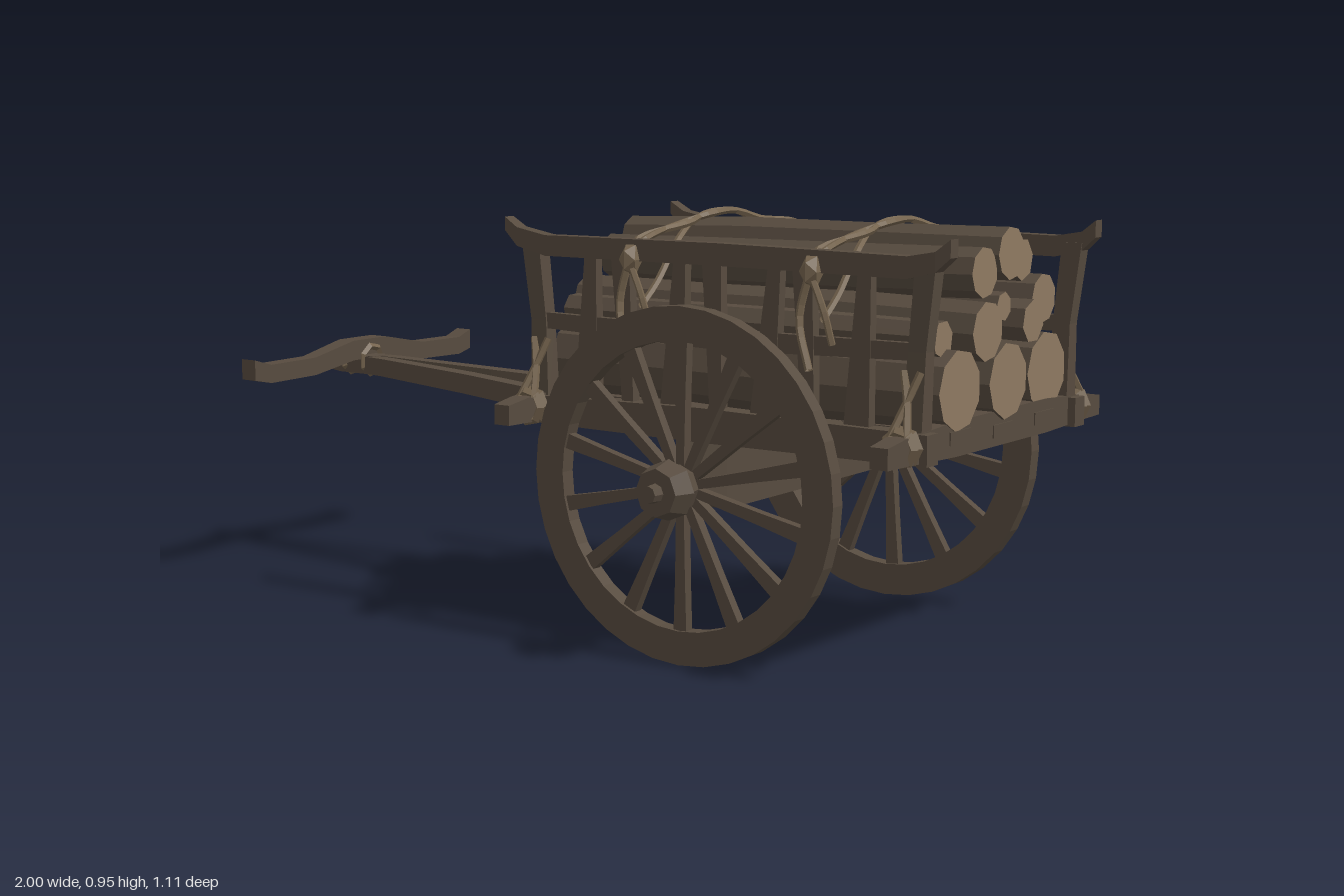
import * as THREE from 'three';

const wood = new THREE.MeshStandardMaterial({ color: 0x574b3f, flatShading: true });
wood.name = 'darkWood';
const cut = new THREE.MeshStandardMaterial({ color: 0x8e7961, flatShading: true });
cut.name = 'cutWood';
const rope = new THREE.MeshStandardMaterial({ color: 0x75644e, flatShading: true, side: THREE.DoubleSide });
rope.name = 'rope';

function add(parent, name, geometry, material = wood) {
  const mesh = new THREE.Mesh(geometry, material);
  mesh.name = name;
  parent.add(mesh);
  return mesh;
}

// Square beam through stations [x, y, z, size1, size2], rising along one axis.
// Sizes follow the two other axes in x, y, z order.
function beam(axis, stations) {
  const n = stations.length - 1;
  const seg = [1, 1, 1];
  seg[axis] = n;
  const g = new THREE.BoxGeometry(1, 1, 1, ...seg);
  const p = g.attributes.position;
  const others = [0, 1, 2].filter((k) => k !== axis);
  for (let i = 0; i < p.count; i++) {
    const v = [p.getX(i), p.getY(i), p.getZ(i)];
    const s = stations[Math.round((v[axis] + 0.5) * n)];
    const out = [s[0], s[1], s[2]];
    others.forEach((k, j) => { out[k] += v[k] * s[3 + j]; });
    p.setXYZ(i, ...out);
  }
  g.computeVertexNormals();
  return g;
}

function box(x, y, z, w, h, d) {
  return new THREE.BoxGeometry(w, h, d).translate(x, y, z);
}

function cord(points, radius = 0.009) {
  const curve = new THREE.CatmullRomCurve3(points.map((p) => new THREE.Vector3(...p)), false, 'centripetal');
  return new THREE.TubeGeometry(curve, points.length * 3, radius, 5);
}

function makeWheel(side) {
  const wheel = new THREE.Group();
  wheel.name = side > 0 ? 'frontWheel' : 'backWheel';

  // Rim
  const shape = new THREE.Shape().absarc(0, 0, 0.386, 0, Math.PI * 2);
  shape.holes.push(new THREE.Path().absarc(0, 0, 0.312, 0, Math.PI * 2, true));
  const rim = new THREE.ExtrudeGeometry(shape, { depth: 0.036, bevelEnabled: false, curveSegments: 18 });
  add(wheel, 'rim', rim.translate(0, 0, -0.018));

  // Spokes
  for (let i = 0; i < 14; i++) {
    const spoke = add(wheel, 'spoke', beam(1, [[0, 0.04, 0, 0.02, 0.024], [0, 0.2, 0, 0.026, 0.022], [0, 0.32, 0, 0.034, 0.022]]));
    spoke.rotation.z = (i / 14) * Math.PI * 2 + (side > 0 ? 0 : 0.05);
  }

  // Hub, with a heavy outer block and a thin axle pin
  const profile = [[0, -0.055], [0.028, -0.055], [0.042, -0.02], [0.05, 0.018], [0.056, 0.045],
    [0.066, 0.052], [0.052, 0.1], [0.021, 0.1], [0.019, 0.127], [0, 0.127]];
  const hub = new THREE.LatheGeometry(profile.map((p) => new THREE.Vector2(...p)), 8);
  add(wheel, 'hub', hub.rotateX(side * Math.PI / 2));

  wheel.position.set(0.414, 0.385, side * 0.426);
  return wheel;
}

function makeLog(z, y, r, x0, x1, i, tilt = 0) {
  const length = x1 - x0;
  const g = new THREE.CylinderGeometry(r, r * 0.94, length, r > 0.05 ? 9 : 7, 3);
  const p = g.attributes.position;
  // Slight bend and swelling along the trunk
  for (let k = 0; k < p.count; k++) {
    const t = p.getY(k) / length;
    const s = 1 + 0.05 * Math.sin(t * 7 + i * 2);
    p.setX(k, p.getX(k) * s + 0.006 * Math.cos(t * Math.PI) * Math.sin(i * 3));
    p.setZ(k, p.getZ(k) * s + 0.006 * Math.cos(t * Math.PI) * Math.cos(i * 5));
  }
  g.rotateY(i * 0.7).rotateZ(tilt - Math.PI / 2).translate((x0 + x1) / 2, y, z);
  g.computeVertexNormals();
  return g;
}

export function createModel() {
  const cart = new THREE.Group();
  cart.name = 'logCart';

  // Wheels and axle
  cart.add(makeWheel(1), makeWheel(-1));
  add(cart, 'axle', beam(2, [
    [0.414, 0.385, -0.4, 0.05, 0.05], [0.414, 0.39, -0.365, 0.08, 0.09], [0.414, 0.397, -0.335, 0.1, 0.135],
    [0.414, 0.4, 0.335, 0.1, 0.145], [0.414, 0.39, 0.365, 0.08, 0.08], [0.414, 0.385, 0.4, 0.05, 0.05]]));

  // Bed planks and cross beams
  for (let i = 0; i < 7; i++) {
    const z = (i - 3) * 0.092;
    add(cart, 'bedPlank', box(0.43 + 0.006 * (i % 2), 0.503 + 0.004 * (i % 3), z, 1.02, 0.028, 0.086));
  }
  for (const x of [-0.052, 0.918]) {
    add(cart, 'crossBeam', beam(2, [
      [x, 0.5, -0.465, 0.042, 0.045], [x, 0.505, -0.4, 0.046, 0.056], [x, 0.508, -0.2, 0.05, 0.075],
      [x, 0.508, 0.2, 0.05, 0.075], [x, 0.505, 0.4, 0.046, 0.056], [x, 0.5, 0.465, 0.042, 0.045]]));
  }
  add(cart, 'bolster', box(0.415, 0.475, 0, 0.09, 0.03, 0.62));

  // Side frames
  for (const s of [1, -1]) {
    const frame = new THREE.Group();
    frame.name = s > 0 ? 'frontSideFrame' : 'backSideFrame';
    cart.add(frame);

    add(frame, 'lowerRail', beam(0, [
      [-0.1, 0.5, s * 0.325, 0.06, 0.045], [0.4, 0.505, s * 0.325, 0.075, 0.05], [0.96, 0.503, s * 0.325, 0.065, 0.045]]));
    add(frame, 'topRail', beam(0, [
      [-0.148, 0.912, s * 0.318, 0.03, 0.03], [-0.11, 0.884, s * 0.32, 0.042, 0.034], [-0.03, 0.868, s * 0.32, 0.046, 0.034],
      [0.43, 0.872, s * 0.318, 0.048, 0.034], [0.9, 0.87, s * 0.32, 0.046, 0.034],
      [0.965, 0.884, s * 0.32, 0.042, 0.034], [0.998, 0.912, s * 0.318, 0.038, 0.03]]));
    add(frame, 'middleRail', beam(0, [
      [-0.06, 0.7, s * 0.318, 0.035, 0.018], [0.43, 0.69, s * 0.318, 0.045, 0.02], [0.94, 0.7, s * 0.318, 0.035, 0.018]]));

    // Corner posts lean outwards at the top
    for (const [x, lean] of [[-0.045, -0.028], [0.915, 0.028]]) {
      add(frame, 'cornerPost', beam(1, [
        [x, 0.49, s * 0.318, 0.05, 0.042], [x + lean * 0.3, 0.7, s * 0.314, 0.042, 0.034], [x + lean, 0.88, s * 0.318, 0.048, 0.036]]));
      // Lashing round the cross beam and bracing ropes up to the post
      const wrap = new THREE.TorusGeometry(0.034, 0.011, 4, 7);
      add(frame, 'beamLashing', wrap.clone().translate(x, 0.51, s * 0.362), rope);
      add(frame, 'beamLashing', wrap.translate(x, 0.51, s * 0.38), rope);
      for (const d of [-0.02, 0.02]) {
        add(frame, 'bracingRope', cord([[x - d, 0.66, s * 0.332], [x, 0.6, s * 0.352], [x + d, 0.53, s * 0.385]]), rope);
      }
    }

    // Wedge-shaped uprights, alternately broad at the foot and at the top
    for (let i = 0; i < 7; i++) {
      const x = 0.08 + i * 0.117;
      const slant = [0.012, -0.025, 0.02, -0.015, 0.03, -0.02, 0.015][i];
      const [foot, top] = i % 2 ? [0.03, 0.05] : [0.062, 0.03];
      add(frame, 'upright', beam(1, [
        [x, 0.52, s * 0.32, foot, 0.024], [x + slant * 0.5, 0.7, s * 0.318, (foot + top) / 2, 0.024], [x + slant, 0.87, s * 0.318, top, 0.022]]));
    }

    // Rope knots on the top rail with loose ends
    for (const x of [0.21, 0.675]) {
      add(frame, 'knot', new THREE.IcosahedronGeometry(0.036, 0).scale(0.7, 1.05, 0.8).translate(x, 0.85, s * 0.338), rope);
      add(frame, 'ropeEnd', cord([[x, 0.85, s * 0.345], [x - 0.02, 0.75, s * 0.352], [x + 0.02, 0.65, s * 0.376]], 0.009), rope);
      add(frame, 'ropeEnd', cord([[x, 0.85, s * 0.345], [x + 0.035, 0.77, s * 0.345], [x + 0.05, 0.7, s * 0.335]], 0.008), rope);
    }
  }

  // Stacked logs: z, y, radius, start, end
  [[0.19, 0.608, 0.088, -0.06, 0.945], [-0.008, 0.607, 0.086, -0.085, 0.95], [-0.2, 0.607, 0.084, -0.06, 0.94],
    [0.095, 0.722, 0.064, -0.09, 0.955], [0.085, 0.836, 0.057, -0.03, 0.94], [-0.012, 0.87, 0.055, -0.04, 0.95],
    [-0.098, 0.85, 0.046, -0.03, 0.93], [-0.16, 0.77, 0.057, -0.07, 0.95], [-0.105, 0.725, 0.046, -0.09, 0.955],
    [0, 0.765, 0.031, -0.05, 0.94], [0.22, 0.715, 0.042, -0.04, 0.92],
  ].forEach((l, i) => add(cart, 'log', makeLog(...l, i, l[1] > 0.8 ? 0.015 : 0), [wood, cut, cut]));

  // Ropes over the load, with a slanting strand to the front rail
  for (const x of [0.21, 0.675]) {
    for (const d of [-0.009, 0.009]) {
      add(cart, 'loadRope', cord([[x + d, 0.86, -0.345], [x - d, 0.892, -0.305], [x + d, 0.911, -0.15], [x, 0.934, -0.06],
        [x - d, 0.934, 0.04], [x + d, 0.918, 0.13], [x - d, 0.89, 0.305], [x + d, 0.86, 0.345]], 0.008), rope);
    }
    add(cart, 'slantRope', cord([[x, 0.915, 0.12], [x + 0.02, 0.875, 0.2], [x + 0.03, 0.8, 0.28], [x + 0.03, 0.75, 0.34]], 0.008), rope);
  }

  // Forked shaft, joined at the tip
  for (const s of [1, -1]) {
    add(cart, 'shaft', beam(0, [
      [-0.96, 0.503, s * 0.012, 0.042, 0.026], [-0.8, 0.5, s * 0.022, 0.044, 0.036], [-0.5, 0.488, s * 0.052, 0.048, 0.042],
      [-0.28, 0.478, s * 0.085, 0.05, 0.045], [-0.05, 0.472, s * 0.12, 0.05, 0.048], [0.4, 0.472, s * 0.125, 0.045, 0.04]]));
  }
  add(cart, 'shaftTip', beam(0, [[-1, 0.503, 0, 0.04, 0.05], [-0.95, 0.503, 0, 0.05, 0.06], [-0.84, 0.501, 0, 0.046, 0.06]]));

  // Yoke with bent ends, lashed to the tip
  add(cart, 'yoke', beam(2, [
    [-0.905, 0.525, -0.4, 0.045, 0.05], [-0.9, 0.512, -0.35, 0.045, 0.045], [-0.895, 0.515, -0.2, 0.044, 0.044],
    [-0.9, 0.54, -0.06, 0.05, 0.05], [-0.9, 0.54, 0.06, 0.05, 0.05], [-0.895, 0.515, 0.2, 0.044, 0.044],
    [-0.9, 0.512, 0.35, 0.045, 0.045], [-0.905, 0.525, 0.4, 0.045, 0.05]]));
  for (const x of [-0.934, -0.868]) {
    add(cart, 'yokeLashing', new THREE.TorusGeometry(0.036, 0.009, 4, 7).rotateY(Math.PI / 2).translate(x, 0.512, 0), rope);
  }
  return cart;
}
